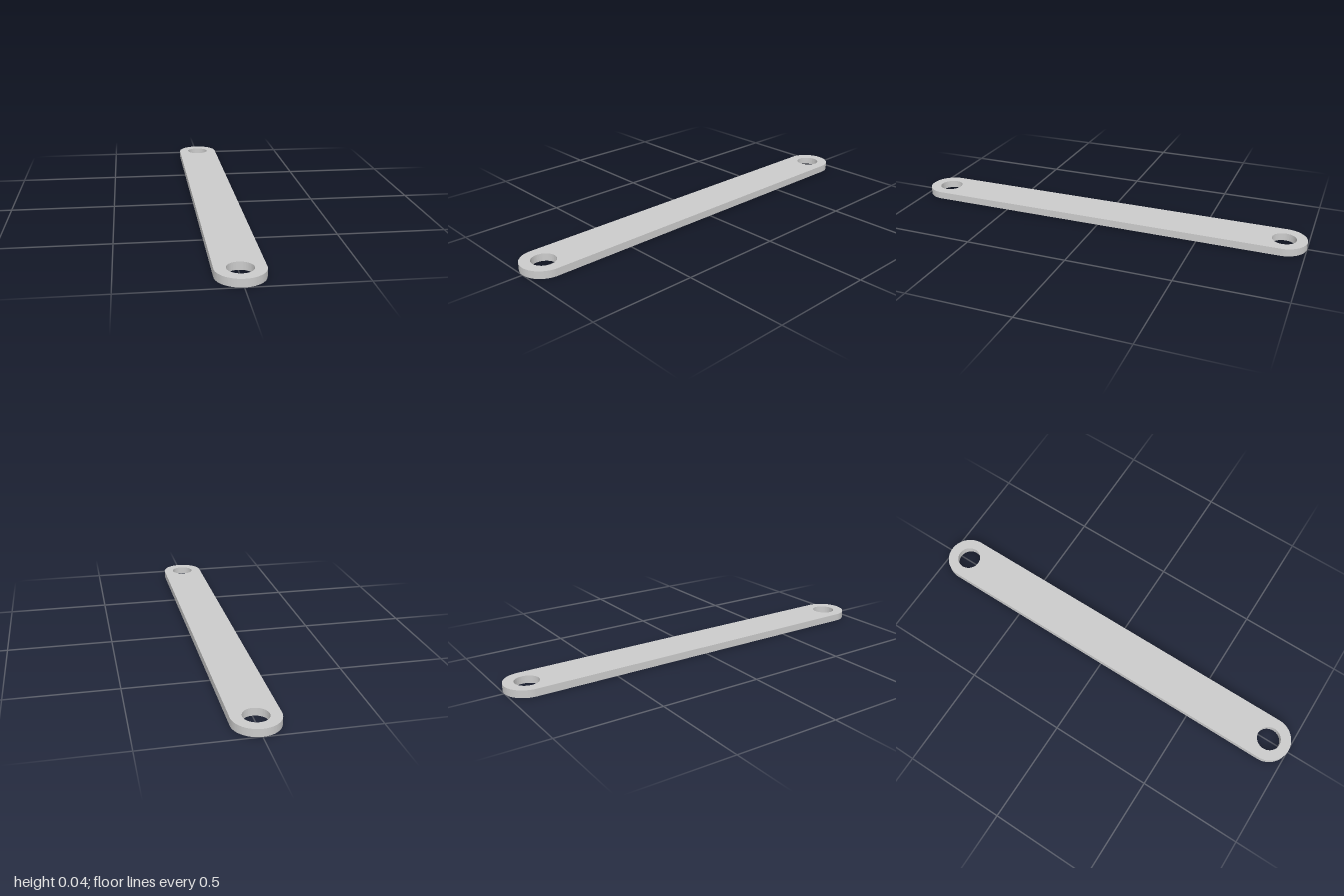
import * as THREE from 'three';
import { toCreasedNormals } from 'three/addons/utils/BufferGeometryUtils.js';

const RADIUS = 0.107;          // rounded end, also half the width
const PIVOT = 1 - RADIUS;      // distance of each hole from the middle
const HOLE = 0.057;
const THICKNESS = 0.036;

export function createModel() {
  const group = new THREE.Group();
  group.name = 'linkBar';

  // Outline with two semicircular ends
  const outline = new THREE.Shape();
  outline.absarc(0, PIVOT, RADIUS, 0, Math.PI, false);
  outline.absarc(0, -PIVOT, RADIUS, Math.PI, Math.PI * 2, false);
  outline.closePath();

  // Round pivot hole at each end
  for (const end of [-1, 1]) {
    const hole = new THREE.Path();
    hole.absarc(0, end * PIVOT, HOLE, 0, Math.PI * 2, true);
    outline.holes.push(hole);
  }

  // Flat plate lying on the ground, smooth round walls and sharp rims
  const plate = new THREE.ExtrudeGeometry(outline, {
    depth: THICKNESS, bevelEnabled: false, curveSegments: 48,
  });
  plate.rotateX(-Math.PI / 2);

  const bar = new THREE.Mesh(
    toCreasedNormals(plate, Math.PI / 6),
    new THREE.MeshStandardMaterial({ color: 0xcccccc }),
  );
  bar.name = 'bar';
  group.add(bar);
  return group;
}
